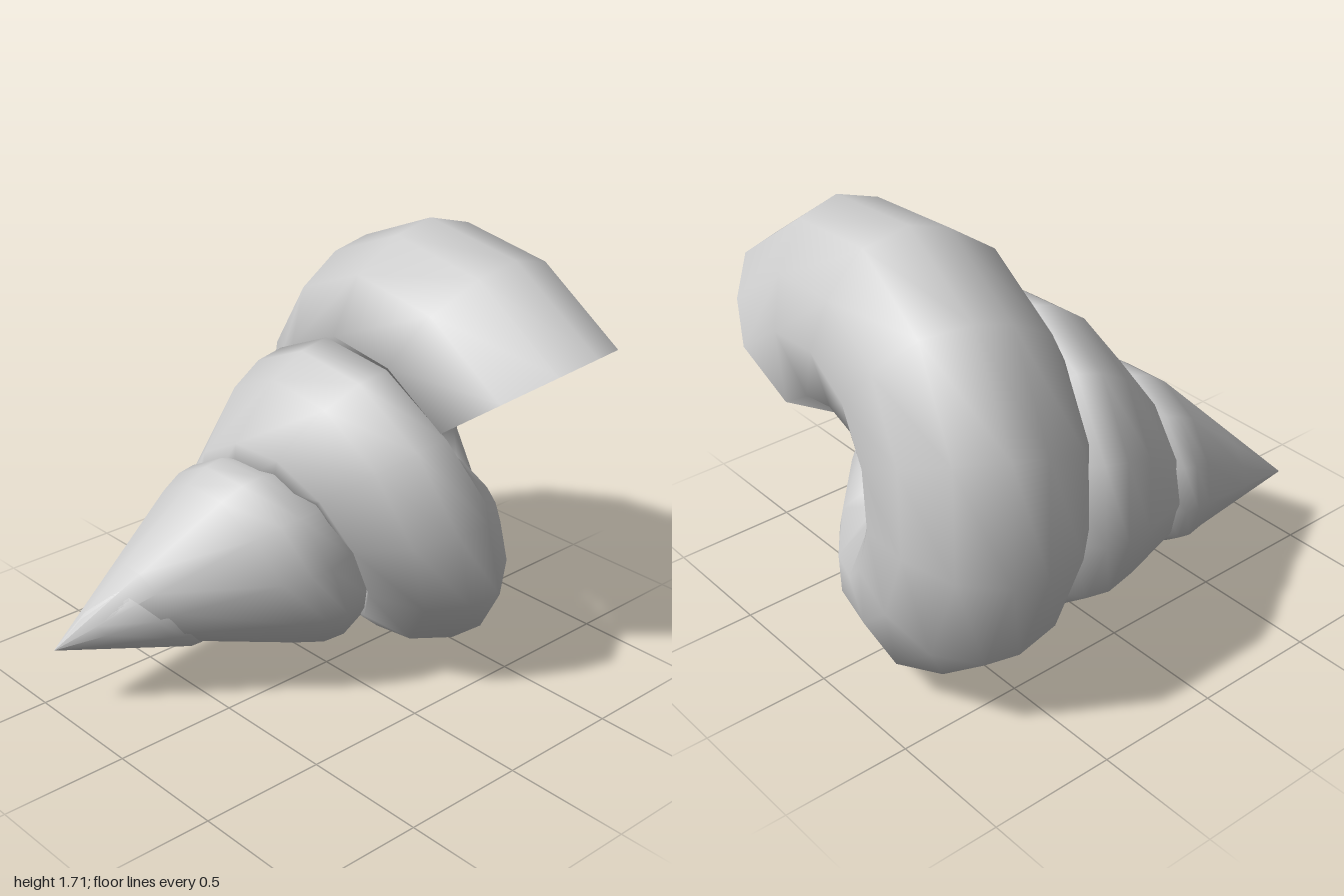
import * as THREE from 'three';

// Whorl cross-section: [u along the coiling axis, r distance from the axis],
// from the spire-side shoulder over the outer wall to the columella
const PROFILE = [
  [-0.52, 0.61], [-0.37, 0.81], [-0.17, 0.9], [-0.01, 0.915], [0.13, 0.835],
  [0.215, 0.645], [0.245, 0.45], [0.155, 0.22], [-0.21, 0.09], [-0.355, 0.46],
];
const SHOULDER = 0, OUTER = 3, BASE = 7, INNER = 9;
const COLUMELLA = [0.33, 0.06];

const SECTIONS = 38;          // sections built, from the mouth up the spire
const LINED_SECTIONS = 9;     // sections with a dark lining
const SHRINK = 45;            // sections after which the size would reach zero
const STEP_ANGLE = Math.PI / 6;
const MOUTH_ANGLE = THREE.MathUtils.degToRad(34.5);

// Tip of the spire and the coil centre at the mouth, seen from the tip
const TIP = new THREE.Vector3(-1, 0.26, -0.41);
const CENTRE = new THREE.Vector3(1.8, 0.6, 0.475);

// Slightly tilted coiling axis and the two directions across it
const AXIS = new THREE.Vector3(1, 0.196, 0.18);
const ACROSS_Z = new THREE.Vector3(-0.18, 0, 1);
const ACROSS_Y = new THREE.Vector3(-0.196, 1, 0);

const { clamp, lerp } = THREE.MathUtils;

// Point j of section i on the plain coil
function coilPoint(i, j) {
  const scale = 1 - i / SHRINK;
  const angle = MOUTH_ANGLE + i * STEP_ANGLE;
  let [u, r] = PROFILE[j];
  if (j > OUTER && j <= BASE) {
    u *= 1 + 0.09 * Math.min(i, 6); // the mouth is pinched at its base
    // below the mouth the base flattens where the later whorl lies on it
    const flat = clamp(Math.min((i - 8) / 4, (17 - i) / 3), 0, 1);
    const t = (j - OUTER) / (BASE - OUTER);
    u = lerp(u, lerp(PROFILE[OUTER][0], COLUMELLA[0], t), flat);
    r = lerp(r, lerp(PROFILE[OUTER][1], COLUMELLA[1], t), flat);
  }
  return CENTRE.clone()
    .addScaledVector(AXIS, u)
    .addScaledVector(ACROSS_Z, r * Math.cos(angle))
    .addScaledVector(ACROSS_Y, r * Math.sin(angle))
    .multiplyScalar(scale)
    .add(TIP);
}

// Towards the spire the shoulder is drawn out into a cone that ends in the tip
function shellPoint(i, j) {
  const point = coilPoint(i, j);
  const draw = clamp((i - 8) / 16, 0, 1) ** 1.5;
  if (j === SHOULDER) point.lerp(coilPoint(i, j + 1).lerp(TIP, 0.48), draw);
  if (j === INNER) point.lerp(TIP, draw);
  return point;
}

// Closed rings joined into a tube; inset draws each ring in towards its middle
function spiralGeometry(sections, inset) {
  const n = PROFILE.length;
  const positions = [];
  const indices = [];
  for (let i = 0; i <= sections; i++) {
    const ring = PROFILE.map((_, j) => shellPoint(i, j));
    const middle = new THREE.Vector3();
    ring.forEach((p) => middle.addScaledVector(p, 1 / n));
    ring.forEach((p, j) => {
      positions.push(...p.lerp(middle, inset).toArray());
      if (i === sections) return;
      const a = i * n + j, b = i * n + (j + 1) % n, c = a + n, d = b + n;
      indices.push(a, b, c, b, d, c);
    });
  }
  const geometry = new THREE.BufferGeometry();
  geometry.setAttribute('position', new THREE.Float32BufferAttribute(positions, 3));
  geometry.setIndex(indices);
  geometry.computeVertexNormals();
  return geometry;
}

export function createModel() {
  const group = new THREE.Group();
  group.name = 'spiralShell';

  const addTube = (name, color, sections, inset) => {
    const material = new THREE.MeshStandardMaterial({ color, side: THREE.DoubleSide });
    const mesh = new THREE.Mesh(spiralGeometry(sections, inset), material);
    mesh.name = name;
    group.add(mesh);
  };

  // Outer wall: body whorl and spire
  addTube('outerWall', 0xcccccc, SECTIONS, 0);
  // Dark inside seen through the mouth
  addTube('mouthLining', 0x050505, LINED_SECTIONS, 0.015);
  return group;
}
